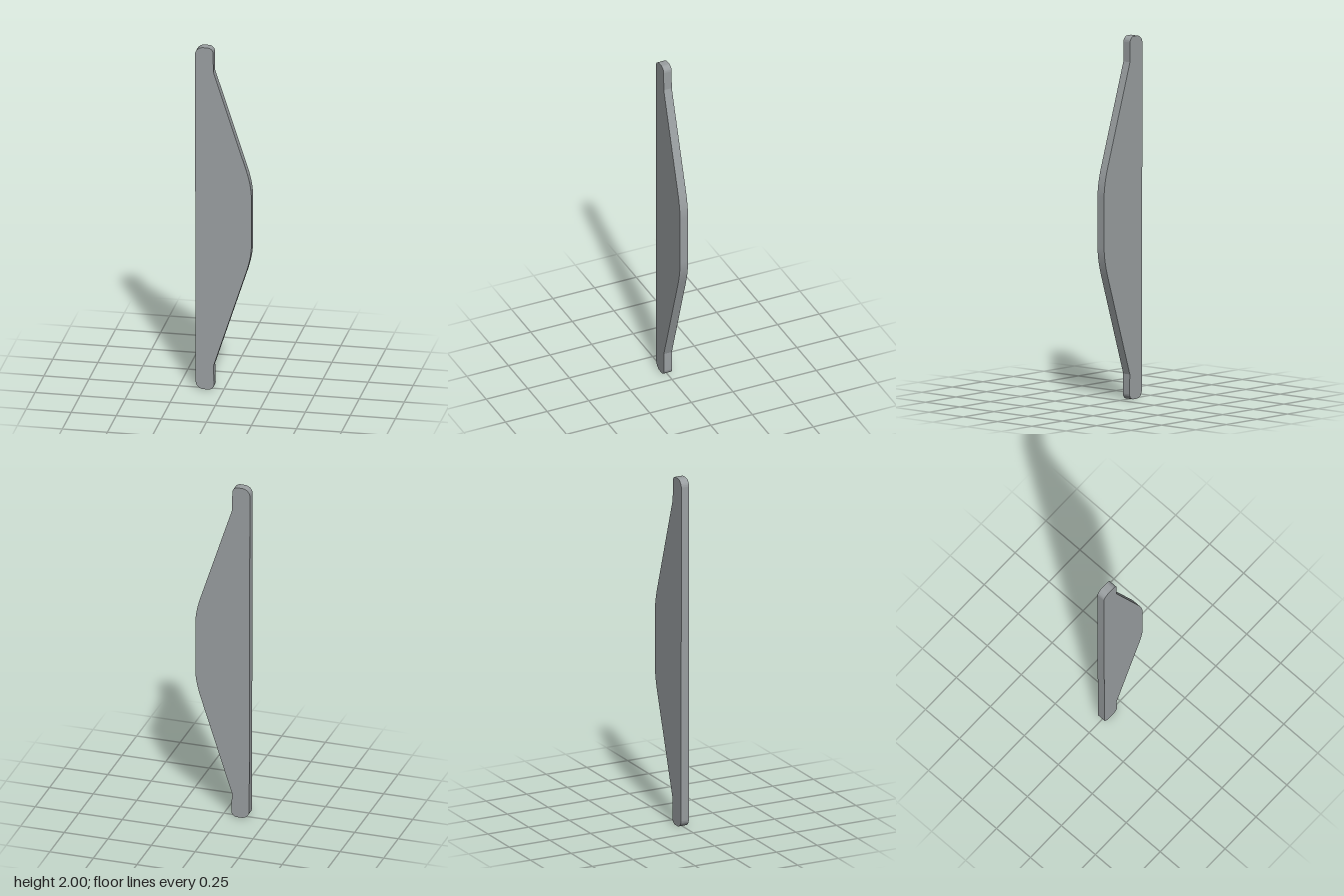
import * as THREE from 'three';
import { toCreasedNormals } from 'three/addons/utils/BufferGeometryUtils.js';

export function createModel() {
  const group = new THREE.Group();
  group.name = 'contouredPlate';

  // x of the bulge, and of the straight edge and tab edge at top and bottom (very slight lean)
  const belly = 0.156;
  const backTop = -0.157, backBottom = -0.153;
  const tabTop = -0.056, tabBottom = -0.051;
  const rBack = 0.045, rTab = 0.032, depth = 0.048;

  // Outline, counter-clockwise from the bottom tab
  const s = new THREE.Shape();
  s.moveTo(backBottom + rBack, 0);
  s.lineTo(tabBottom - rTab, 0);
  s.absarc(tabBottom - rTab, rTab, rTab, -Math.PI / 2, 0);
  s.lineTo(-0.054, 0.14);
  s.lineTo(0.127, 0.7);
  s.quadraticCurveTo(belly, 0.79, belly, 0.86);
  s.lineTo(belly, 1.14);
  s.quadraticCurveTo(belly, 1.21, 0.127, 1.3);
  s.lineTo(-0.055, 1.86);
  s.lineTo(tabTop, 2 - rTab);
  s.absarc(tabTop - rTab, 2 - rTab, rTab, 0, Math.PI / 2);
  s.lineTo(backTop + rBack, 2);
  s.absarc(backTop + rBack, 2 - rBack, rBack, Math.PI / 2, Math.PI);
  s.lineTo(backBottom, rBack);
  s.absarc(backBottom + rBack, rBack, rBack, Math.PI, Math.PI * 1.5);

  // Flat plate with sharp rims and smooth rounded corners
  const geometry = new THREE.ExtrudeGeometry(s, { depth, bevelEnabled: false, curveSegments: 12 });
  geometry.translate(0, 0, -depth / 2);
  const plate = new THREE.Mesh(
    toCreasedNormals(geometry, 0.25),
    new THREE.MeshStandardMaterial({ color: 0x9a9fa1 })
  );
  plate.name = 'plate';
  group.add(plate);
  return group;
}
